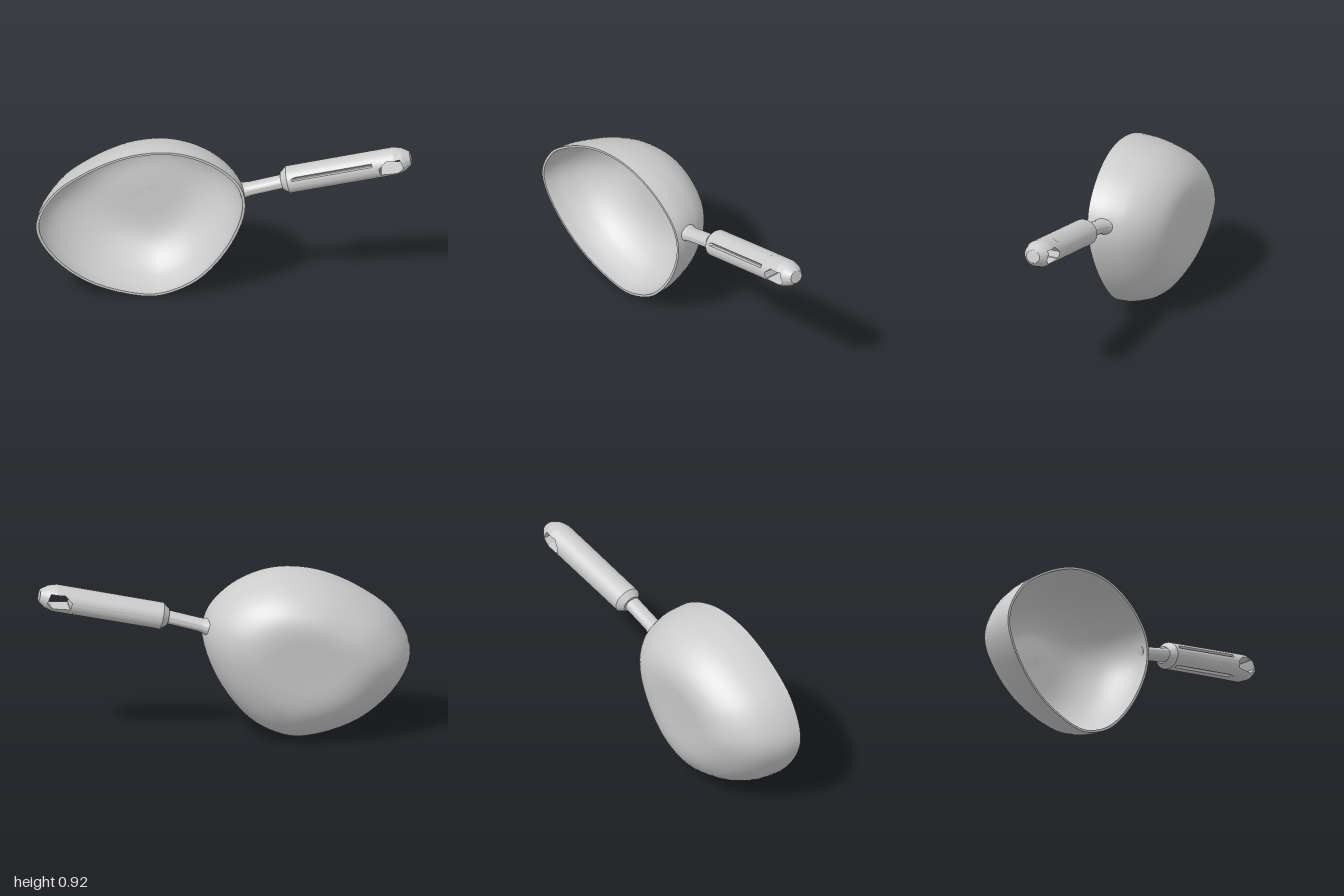
import * as THREE from 'three';
import { toCreasedNormals } from 'three/addons/utils/BufferGeometryUtils.js';

const material = new THREE.MeshStandardMaterial({ color: 0xcccccc, side: THREE.DoubleSide });

// Skin a list of closed rings, each an array of [x, y, z]; optionally join last ring to first
function loft(name, rings, crease, wrap = false) {
  const n = rings[0].length, m = rings.length, index = [];
  for (let i = 0; i < (wrap ? m : m - 1); i++) {
    for (let j = 0; j < n; j++) {
      const k = (j + 1) % n, i2 = (i + 1) % m;
      const a = i * n + j, b = i2 * n + j, c = i2 * n + k, d = i * n + k;
      index.push(a, b, c, a, c, d);
    }
  }
  const geo = new THREE.BufferGeometry();
  geo.setAttribute('position', new THREE.Float32BufferAttribute(rings.flat(2), 3));
  geo.setIndex(index);
  const mesh = new THREE.Mesh(toCreasedNormals(geo, crease), material);
  mesh.name = name;
  return mesh;
}

// Oval rods along x: stations of [u, radius], with optional grooves cut into the side
function rod(name, stations, zScale, grooves = []) {
  const N = 72;
  const rings = stations.map(([u, r, depth = 0]) => Array.from({ length: N }, (_, j) => {
    const a = j / N * Math.PI * 2;
    const cut = grooves.some(g => Math.abs(a - g) < 0.1) ? depth : 0;
    return [u, (r - cut) * Math.cos(a), -(r - cut) * Math.sin(a) * zScale];
  }));
  return loft(name, rings, 0.6);
}

// Lopsided egg-shaped bowl with a slanted rim and a nearly flat base
function makeBowl() {
  const rim = new THREE.CatmullRomCurve3([
    [0.118, 0.555], [0.096, 0.7], [-0.01, 0.82], [-0.15, 0.895], [-0.31, 0.925],
    [-0.52, 0.895], [-0.74, 0.79], [-0.91, 0.65], [-0.998, 0.45], [-0.925, 0.27],
    [-0.71, 0.086], [-0.4, 0.003], [-0.257, 0.035], [-0.12, 0.12], [0.037, 0.326],
  ].map(([x, y]) => new THREE.Vector3(x, y, 0)), true, 'centripetal').getPoints(80).slice(0, 80);

  // profile from rim to base: [scale about centre, depth]
  const profile = new THREE.SplineCurve([
    [1, 0], [0.99, 0.2], [0.95, 0.4], [0.9, 0.56], [0.81, 0.73],
    [0.68, 0.88], [0.55, 0.965], [0.4, 1], [0.2, 1], [0, 1],
  ].map(p => new THREE.Vector2(...p))).getPoints(36);

  const cx = -0.43, cy = 0.48;
  const ring = (s, t) => rim.map(p => {
    const x = cx + (p.x - cx) * s, y = cy + (p.y - cy) * s;
    const top = 0.12 - 0.042 * p.x + 0.0745 * p.y;
    const base = -0.2 - 0.06 * (y - 0.65);
    return [x, y, top + (base - top) * t];
  });
  const inner = profile.map(p => ring(p.x * 0.972, p.y * 0.955)).reverse();
  const outer = profile.map(p => ring(p.x, p.y));
  return loft('bowl', [...inner, ...outer], 0.7);
}

// Distance from (ox, 0) to a closed polygon along angle a
function rayDistance(points, ox, a) {
  const dx = Math.cos(a), dy = Math.sin(a);
  let best = 0;
  points.forEach(([x1, y1], i) => {
    const [x2, y2] = points[(i + 1) % points.length];
    const ex = x2 - x1, ey = y2 - y1, det = dx * ey - dy * ex;
    if (Math.abs(det) < 1e-9) return;
    const t = ((x1 - ox) * ey - y1 * ex) / det;
    const s = ((x1 - ox) * dy - y1 * dx) / det;
    if (t > 0 && s >= -1e-6 && s <= 1 + 1e-6) best = Math.max(best, t);
  });
  return best;
}

// Rounded end of the grip with the hanging hole
function makeGripEnd(zScale) {
  const half = [[0.5, 0.073], [0.62, 0.073], [0.665, 0.061], [0.705, 0.035]];
  const outline = [...half, ...half.map(([u, r]) => [u, -r]).reverse()];
  const hole = [[0.533, 0.009], [0.577, 0.039], [0.652, 0.033], [0.664, -0.019], [0.631, -0.044], [0.535, -0.03]];
  const radiusAt = u => {
    for (let i = 1; i < half.length; i++) {
      const [u1, r1] = half[i - 1], [u2, r2] = half[i];
      if (u <= u2) return r1 + (r2 - r1) * (u - u1) / (u2 - u1);
    }
    return half[3][1];
  };
  const N = 96, M = 8, ox = 0.6;
  const ring = (f, side) => Array.from({ length: N }, (_, j) => {
    const a = j / N * Math.PI * 2;
    const d = THREE.MathUtils.lerp(rayDistance(hole, ox, a), rayDistance(outline, ox, a), f);
    const u = ox + d * Math.cos(a), v = d * Math.sin(a);
    return [u, v, side * zScale * Math.sqrt(Math.max(0, radiusAt(u) ** 2 - v * v))];
  });
  const fractions = Array.from({ length: M + 1 }, (_, i) => Math.sin(i / M * Math.PI / 2));
  const front = fractions.map(f => ring(f, 1));
  const back = fractions.map(f => ring(f, -1)).reverse();
  return loft('gripEnd', [...front, ...back], 0.6, true);
}

export function createModel() {
  const model = new THREE.Group();
  model.name = 'scoop';
  model.add(makeBowl());

  // Neck, flaring slightly where it meets the bowl
  const neck = rod('neck', [[0, 0], [0, 0.046], [0.02, 0.04], [0.05, 0.036], [0.25, 0.036], [0.25, 0]], 1.25);
  neck.position.set(0.094, 0.635, 0.083);
  neck.rotation.z = 0.275;
  model.add(neck);

  // Grip with shallow grooves underneath and along the upper front
  const handle = new THREE.Group();
  handle.name = 'handle';
  handle.add(rod('grip', [
    [0, 0], [0, 0.045], [0.035, 0.072], [0.06, 0.072], [0.08, 0.072, 0.014],
    [0.5, 0.073, 0.014], [0.515, 0.073], [0.515, 0],
  ], 1.1, [2.75, 3.53, 5.2]));
  handle.add(makeGripEnd(1.1));
  handle.position.set(0.31, 0.698, 0.076);
  handle.rotation.set(0, 0.025, 0.21);
  model.add(handle);

  return model;
}
